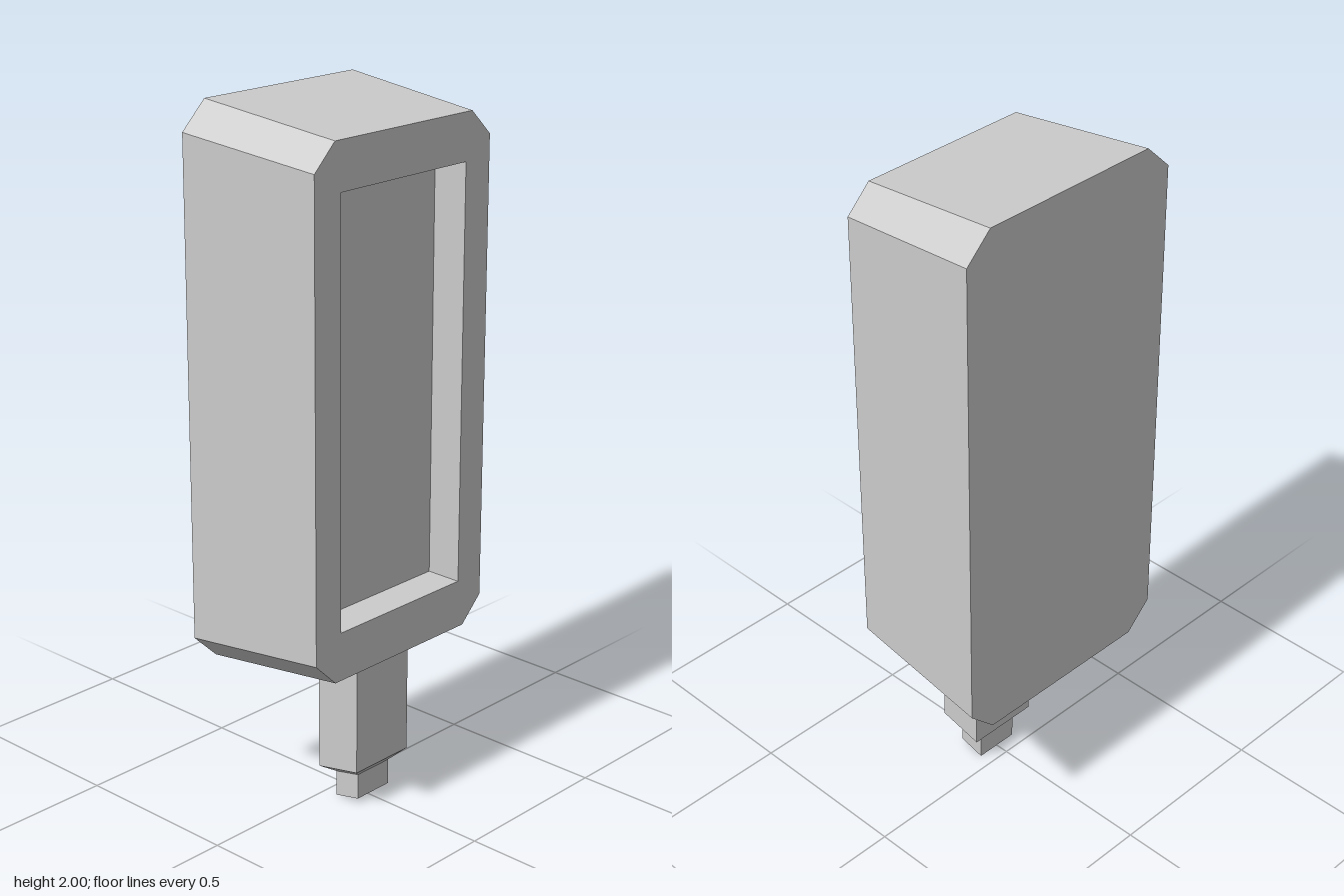
import * as THREE from 'three';

const material = new THREE.MeshStandardMaterial({ color: 0xcccccc, flatShading: true });

// Flat-shaded mesh from a list of quads (corners anticlockwise seen from outside)
function quadMesh(name, quads) {
  const pos = [];
  for (const [a, b, c, d] of quads) pos.push(...a, ...b, ...c, ...a, ...c, ...d);
  const geo = new THREE.BufferGeometry();
  geo.setAttribute('position', new THREE.Float32BufferAttribute(pos, 3));
  geo.computeVertexNormals();
  const mesh = new THREE.Mesh(geo, material);
  mesh.name = name;
  return mesh;
}

// Quads joining successive rings of equal corner count
function loft(rings, skip = -1) {
  const quads = [];
  for (let r = 0; r + 1 < rings.length; r++) {
    const a = rings[r], b = rings[r + 1], n = a.length;
    for (let i = 0; i < n; i++) {
      if (i === skip) continue;
      const j = (i + 1) % n;
      quads.push([a[i], b[i], b[j], a[j]]);
    }
  }
  return quads;
}

// Chamfered rectangle, anticlockwise from the front; edge 0 is the bottom one
function octagon(w, cx, y0, y1, cy, z) {
  return [[-cx, y0], [cx, y0], [w, y0 + cy], [w, y1 - cy],
    [cx, y1], [-cx, y1], [-w, y1 - cy], [-w, y0 + cy]].map(([x, y]) => [x, y, z]);
}

// Sloping horizontal rectangle given by its front and back edges
function slopedRing(wf, yf, zf, wb, yb, zb) {
  return [[-wf, yf, zf], [wf, yf, zf], [wb, yb, zb], [-wb, yb, zb]];
}

function face(name, outline, z, hole) {
  const shape = new THREE.Shape(outline.map(([x, y]) => new THREE.Vector2(x, y)));
  if (hole) shape.holes.push(new THREE.Path(hole.map(([x, y]) => new THREE.Vector2(x, y))));
  const mesh = new THREE.Mesh(new THREE.ShapeGeometry(shape), material);
  mesh.position.z = z;
  mesh.name = name;
  return mesh;
}

export function createModel() {
  const group = new THREE.Group();
  group.name = 'panelOnStem';

  // Tapered housing, with its bottom edge left open for the stem transition
  const front = octagon(0.336, 0.262, 0.48, 1.95, 0.072, 0.222);
  const back = octagon(0.36, 0.28, 0.43, 2.0, 0.077, -0.222);
  group.add(quadMesh('housingSides', loft([front, back], 0)));
  const backFace = face('housingBack', back, 0.222);
  backFace.rotation.y = Math.PI;
  backFace.position.z = -0.222;
  group.add(backFace);

  // Front frame around the recessed panel
  const rect = (z) => [[-0.24, 0.62, z], [0.24, 0.62, z], [0.24, 1.817, z], [-0.24, 1.817, z]];
  const rim = rect(0.222), floor = rect(0.115);
  group.add(face('frontFrame', front, 0.222, rim));
  group.add(quadMesh('recessWalls', loft([floor, rim])));
  group.add(quadMesh('recessPanel', [floor]));

  // Housing underside drawn down into the stem, shoulder and tip
  const base = slopedRing(0.262, 0.48, 0.222, 0.28, 0.43, -0.222);
  const stemTop = slopedRing(0.105, 0.466, 0.155, 0.11, 0.443, 0.015);
  const stemEnd = slopedRing(0.105, 0.125, 0.155, 0.11, 0.1, 0.015);
  const tipTop = slopedRing(0.064, 0.092, 0.122, 0.067, 0.076, 0.041);
  const tipEnd = slopedRing(0.064, 0.016, 0.122, 0.067, 0, 0.041);
  group.add(quadMesh('underside', loft([base, stemTop])));
  group.add(quadMesh('stem', loft([stemTop, stemEnd])));
  group.add(quadMesh('shoulder', loft([stemEnd, tipTop])));
  group.add(quadMesh('tip', [...loft([tipTop, tipEnd]), [...tipEnd].reverse()]));
  return group;
}
